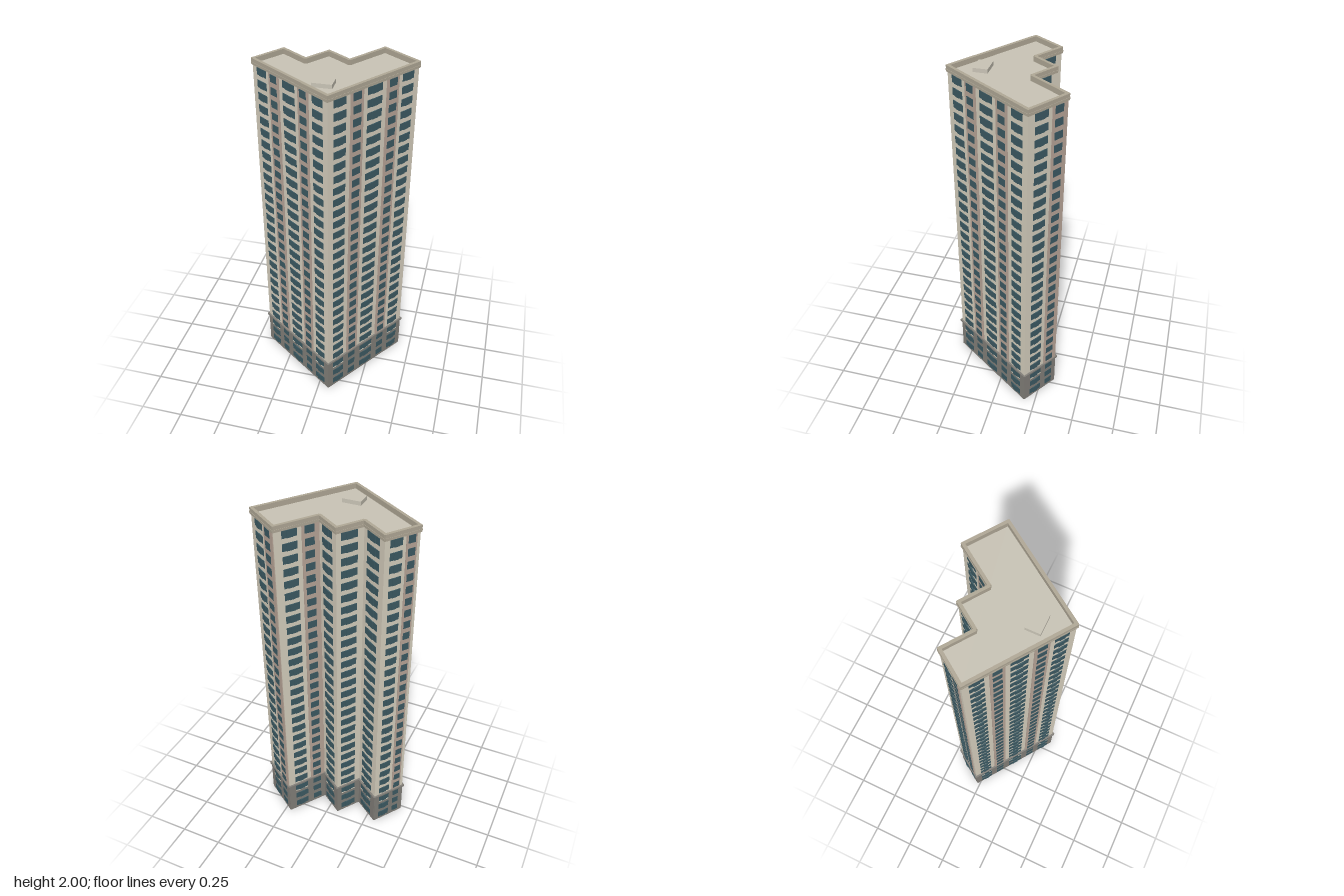
import * as THREE from 'three';
import { mergeGeometries } from 'three/addons/utils/BufferGeometryUtils.js';

const mat = (name, color) => {
  const m = new THREE.MeshStandardMaterial({ color });
  m.name = name;
  return m;
};

export function createModel() {
  const cream = mat('cream wall', 0xd6cfbe);
  const stone = mat('grey podium', 0x827f79);
  const rose = mat('rose strip', 0xb8a598);
  const glass = mat('teal glass', 0x3c5a63);
  const tan = mat('tan cornice', 0xb0a896);
  const roofing = mat('roofing', 0xc8c3b5);

  const tower = new THREE.Group();
  tower.name = 'tower';
  const add = (parent, name, geometry, material) => {
    const mesh = new THREE.Mesh(geometry, material);
    mesh.name = name;
    parent.add(mesh);
    return mesh;
  };

  // Stepped footprint, walked along two perpendicular directions
  const turn = THREE.MathUtils.degToRad(35);
  const u = new THREE.Vector2(Math.cos(turn), Math.sin(turn));
  const v = new THREE.Vector2(Math.sin(turn), -Math.cos(turn));
  const WIDE = [[0.06, 0.19], [0.42, 0.58], [0.81, 0.94]];
  const NARROW = [[0.26, 0.345], [0.655, 0.74]];
  const main = { wide: WIDE, narrow: NARROW, strips: [[0.235, 0.372], [0.628, 0.765]] };
  const end = { wide: [[0.17, 0.5]], narrow: [[0.66, 0.87]], strips: [[0.6, 0.985]] };
  const small = { wide: [[0.17, 0.77]], narrow: [], strips: [] };
  const sides = [
    { dir: u, len: 0.595, ...main },
    { dir: v, len: 0.62, ...main },
    { dir: u, len: -0.25, ...end },
    { dir: v, len: -0.255, ...end },
    { dir: u, len: -0.162, ...small },
    { dir: v, len: -0.16, ...small },
    { dir: u, len: -0.183, ...small },
    { dir: v, len: -0.205, wide: [[0.15, 0.5]], narrow: [[0.65, 0.85]], strips: [[0.6, 0.9]] },
  ];
  const point = new THREE.Vector2(0.065, 0.324).addScaledVector(u, -0.595);
  const corners = sides.map((s) => {
    s.start = point.clone();
    point.addScaledVector(s.dir, s.len);
    return s.start;
  });

  // Prism over the footprint
  const prism = (y0, y1) => {
    const shape = new THREE.Shape(corners.map((p) => new THREE.Vector2(p.x, -p.y)));
    const g = new THREE.ExtrudeGeometry(shape, { depth: y1 - y0, bevelEnabled: false });
    return g.rotateX(-Math.PI / 2).translate(0, y0, 0);
  };
  add(tower, 'podiumCore', prism(0, 0.21), stone);
  add(tower, 'towerWalls', prism(0.21, 1.965), cream);
  add(tower, 'roofDeck', prism(1.965, 1.972), roofing);

  // Box given by its limits in a facade's own frame
  const box = (x0, x1, y0, y1, z0, z1) =>
    new THREE.BoxGeometry(x1 - x0, y1 - y0, z1 - z0)
      .translate((x0 + x1) / 2, (y0 + y1) / 2, (z0 + z1) / 2);

  const ROWS = 28, PITCH = 0.0704, HALF = 0.021;
  for (const s of sides) {
    const L = Math.abs(s.len), sign = Math.sign(s.len);
    const facade = new THREE.Group();
    facade.name = 'facade';
    facade.position.set(s.start.x, 0, s.start.y);
    facade.rotation.y = Math.atan2(-s.dir.y * sign, s.dir.x * sign);
    tower.add(facade);

    // Podium skin, ledge, cornice and parapet
    add(facade, 'podiumSkin', box(0, L, 0, 0.21, -0.004, 0.003), stone);
    add(facade, 'podiumLedge', box(-0.008, L + 0.008, 0.208, 0.218, -0.005, 0.011), stone);
    add(facade, 'cornice', box(-0.004, L + 0.004, 1.972, 1.98, -0.005, 0.008), tan);
    add(facade, 'parapet', box(-0.004, L + 0.004, 1.965, 2, -0.011, 0.006), tan);

    // Raised coloured strips behind the narrow windows
    for (const [a, b] of s.strips) {
      add(facade, 'roseStrip', box(a * L, b * L, 0.218, 1.968, -0.001, 0.005), rose);
    }

    // Windows: wide ones have a forward middle pane
    const panes = [], sills = [];
    for (let i = 0; i < ROWS; i++) {
      const y = 0.041 + i * PITCH;
      const base = i < 3 ? 0.004 : 0.001;
      for (const [a, b] of s.wide) {
        const x0 = a * L, x1 = b * L, w = x1 - x0;
        panes.push(box(x0, x1, y - HALF, y + HALF, 0, base + 0.001));
        panes.push(box(x0 + w * 0.3, x1 - w * 0.3, y - HALF, y + HALF, 0, base + 0.005));
        if (i === 2) sills.push(box(x0, x1, y - HALF - 0.005, y - HALF, 0, base + 0.003));
      }
      for (const [a, b] of s.narrow) {
        panes.push(box(a * L, b * L, y - HALF, y + HALF, 0, i < 3 ? 0.005 : 0.007));
      }
    }
    add(facade, 'windows', mergeGeometries(panes), glass);
    add(facade, 'windowSills', mergeGeometries(sills), cream);
  }

  // Flat hatch on the roof
  add(tower, 'roofHatch', box(-0.05, 0.055, 1.97, 1.994, 0.116, 0.195), roofing);
  return tower;
}
